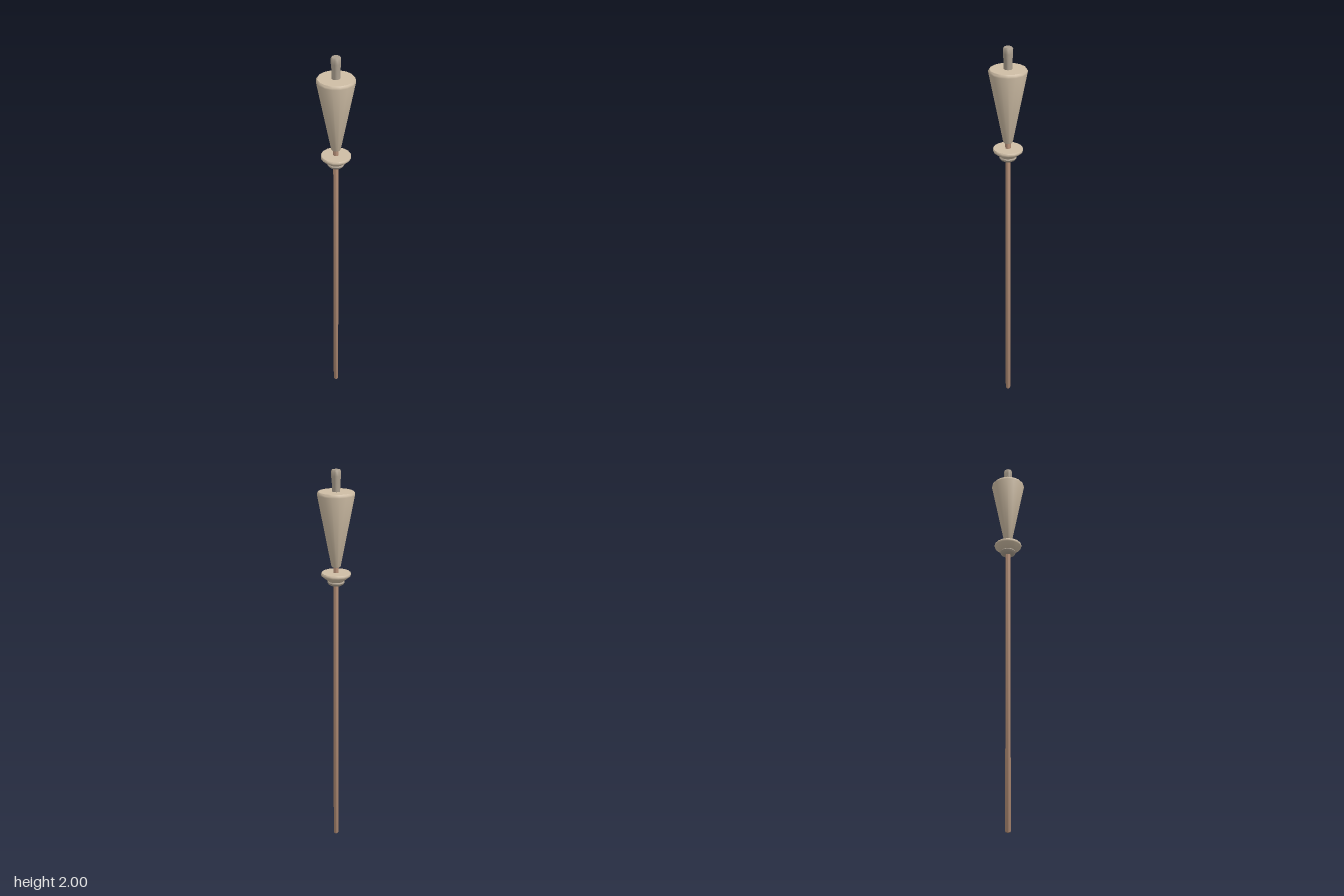
import * as THREE from 'three';
import { toCreasedNormals } from 'three/addons/utils/BufferGeometryUtils.js';

// Turned part from a [radius, height] profile, listed bottom to top
function turned(name, color, profile, sides = 16) {
  const points = profile.map(([r, y]) => new THREE.Vector2(r, y));
  const geometry = toCreasedNormals(new THREE.LatheGeometry(points, sides), 0.9);
  const mesh = new THREE.Mesh(geometry, new THREE.MeshStandardMaterial({ color }));
  mesh.name = name;
  return mesh;
}

export function createModel() {
  const group = new THREE.Group();
  group.name = 'handledRod';
  const wood = 0xcebda5, rodColor = 0xb8927a, endColor = 0xaca090;

  // Long slender rod, running up into the grip
  group.add(turned('rod', rodColor, [
    [0, 0], [0.011, 0], [0.013, 0.004], [0.013, 1.56], [0, 1.56],
  ]));

  // Small stepped ring under the guard
  group.add(turned('guardRing', endColor, [
    [0, 1.452], [0.028, 1.452], [0.036, 1.457], [0.042, 1.467],
    [0.04, 1.472], [0.03, 1.475], [0, 1.475],
  ]));

  // Flared dish-shaped guard
  group.add(turned('guard', wood, [
    [0, 1.47], [0.034, 1.47], [0.046, 1.48], [0.07, 1.499],
    [0.072, 1.504], [0.072, 1.511], [0.069, 1.515], [0, 1.515],
  ]));

  // Tapered grip, widest at the top with a softened rim
  group.add(turned('grip', wood, [
    [0, 1.543], [0.02, 1.543], [0.023, 1.548], [0.0885, 1.885],
    [0.0885, 1.893], [0.083, 1.9], [0, 1.9],
  ]));

  // Peg at the top end, slightly swollen near its tip
  group.add(turned('endPeg', endColor, [
    [0, 1.89], [0.019, 1.89], [0.02, 1.94], [0.023, 1.97],
    [0.023, 1.992], [0.019, 1.999], [0, 2],
  ]));

  return group;
}
